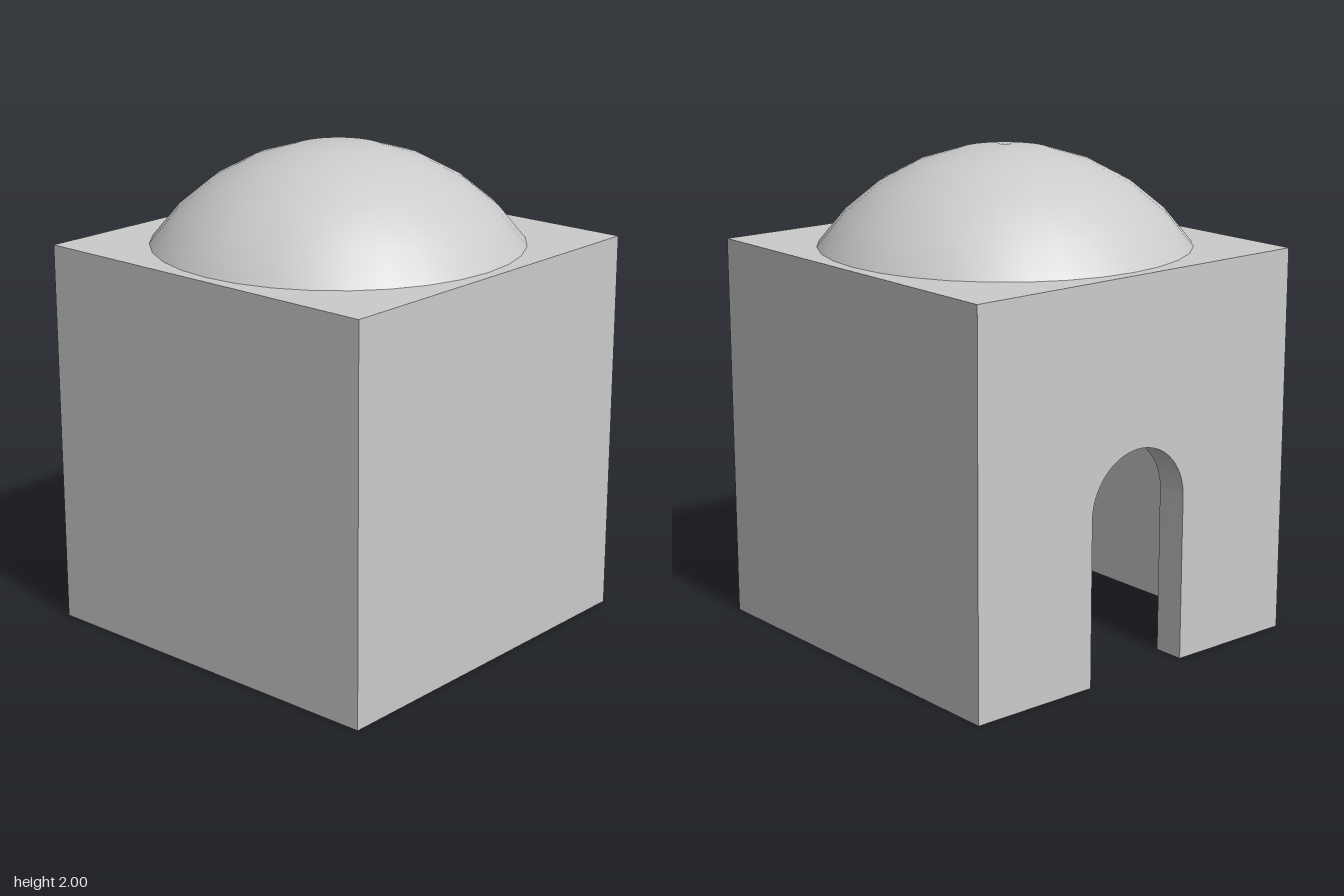
import * as THREE from 'three';
import { toCreasedNormals } from 'three/addons/utils/BufferGeometryUtils.js';

const HALF = 0.8;         // half the width of the cube
const HEIGHT = 1.6;       // height of the cube
const WALL = 0.13;        // thickness of walls and roof
const DOOR = 0.24;        // half the door width, also the arch radius
const SPRING = 0.68;      // height where the arch starts

const material = new THREE.MeshStandardMaterial({ color: 0xcccccc });

function addMesh(group, name, geometry, x = 0, y = 0, z = 0) {
  const mesh = new THREE.Mesh(geometry, material);
  mesh.name = name;
  mesh.position.set(x, y, z);
  group.add(mesh);
  return mesh;
}

// Wall outline with an arched doorway open at the floor
function doorWallGeometry() {
  const shape = new THREE.Shape();
  shape.moveTo(-HALF, 0);
  shape.lineTo(-DOOR, 0);
  shape.lineTo(-DOOR, SPRING);
  shape.absarc(0, SPRING, DOOR, Math.PI, 0, true);
  shape.lineTo(DOOR, 0);
  shape.lineTo(HALF, 0);
  shape.lineTo(HALF, HEIGHT);
  shape.lineTo(-HALF, HEIGHT);
  shape.closePath();
  const geometry = new THREE.ExtrudeGeometry(shape, { depth: WALL, bevelEnabled: false, curveSegments: 24 });
  return toCreasedNormals(geometry, Math.PI / 6);
}

export function createModel() {
  const model = new THREE.Group();
  model.name = 'domedBuilding';
  const inner = 2 * (HALF - WALL);
  const mid = HALF - WALL / 2;

  // Hollow cube, open underneath, with the doorway at the back
  addMesh(model, 'backWall', doorWallGeometry(), 0, 0, -HALF);
  addMesh(model, 'frontWall', new THREE.BoxGeometry(2 * HALF, HEIGHT, WALL), 0, HEIGHT / 2, mid);
  for (const [name, side] of [['leftWall', 1], ['rightWall', -1]]) {
    addMesh(model, name, new THREE.BoxGeometry(WALL, HEIGHT, inner), side * mid, HEIGHT / 2, 0);
  }
  addMesh(model, 'roof', new THREE.BoxGeometry(inner, WALL, inner), 0, HEIGHT - WALL / 2, 0);

  // Shallow dome, its rim sunk just below the roof
  const radius = 0.912;
  const dome = new THREE.SphereGeometry(radius, 32, 5, 0, Math.PI * 2, 0, Math.PI * 5 / 16);
  addMesh(model, 'dome', dome, 0, 2 - radius, 0);

  return model;
}
